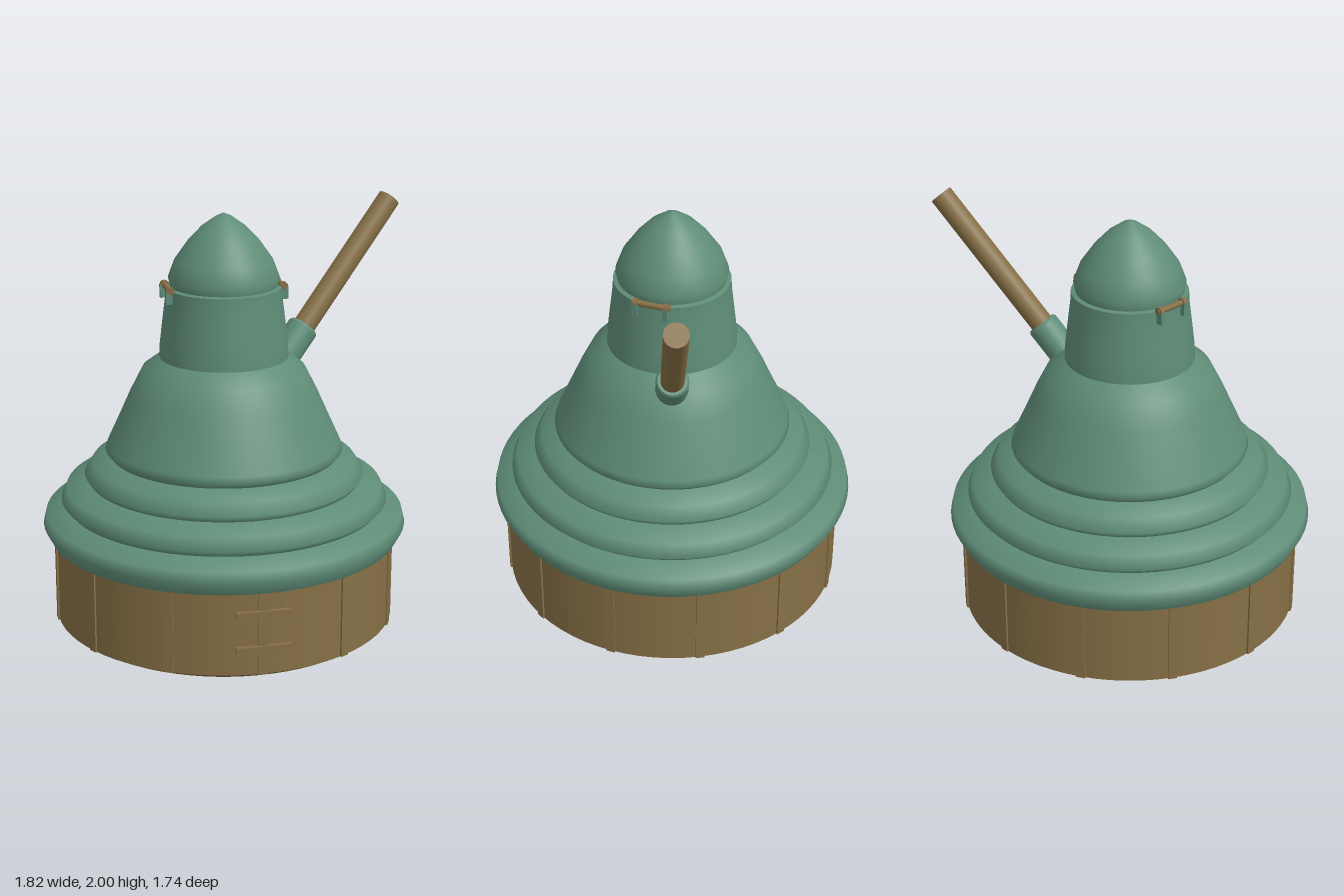
import * as THREE from 'three';

const mat = (name, color) => new THREE.MeshStandardMaterial({ name, color });

export function createModel() {
  const green = mat('weathered green', 0x5e8c77);
  const brown = mat('bronze brown', 0x866f45);
  const dark = mat('dark opening', 0x2a3438);

  const root = new THREE.Group();
  root.name = 'domedTurret';
  // The body axis sits slightly left of the middle because the barrel sticks out
  const body = new THREE.Group();
  body.name = 'body';
  body.position.x = -0.043;
  root.add(body);

  const add = (parent, name, geometry, material, x = 0, y = 0, z = 0) => {
    const m = new THREE.Mesh(geometry, material);
    m.name = name;
    m.position.set(x, y, z);
    parent.add(m);
    return m;
  };
  const lathe = (name, pts, material, start = 0, length = Math.PI * 2, segs = 72) =>
    add(body, name, new THREE.LatheGeometry(pts.map(p => new THREE.Vector2(...p)), segs, start, length), material);

  // Drum base, with its underside and central opening
  lathe('baseUnderside', [[0.2, 0], [0.725, 0]], brown);
  lathe('baseBevel', [[0.725, 0], [0.76, 0.017], [0.816, 0.05]], brown);
  lathe('baseDrum', [[0.816, 0.05], [0.816, 0.46]], brown);
  lathe('baseOpening', [[0, 0.003], [0.202, 0.003]], dark);

  // Twelve upright ribs around the drum
  for (let i = 0; i < 12; i++) {
    const a = i * Math.PI / 6;
    const rib = add(body, 'baseRib', new THREE.BoxGeometry(0.042, 0.4, 0.03), brown,
      Math.sin(a) * 0.809, 0.25, Math.cos(a) * 0.809);
    rib.rotation.y = a;
  }
  // Two cross bars on the front rib
  for (const y of [0.175, 0.345])
    add(body, 'frontCrossBar', new THREE.BoxGeometry(0.25, 0.032, 0.035), brown, 0, y, 0.815);

  // Stepped green skirt
  lathe('skirtUnderside', [[0.8, 0.45], [0.838, 0.45]], green);
  lathe('skirtRim', [[0.838, 0.45], [0.87, 0.51], [0.857, 0.565], [0.755, 0.6]], green);
  lathe('skirtMiddleTier', [[0.755, 0.6], [0.782, 0.63], [0.755, 0.69], [0.648, 0.722]], green);
  lathe('skirtUpperTier', [[0.648, 0.722], [0.668, 0.752], [0.63, 0.81], [0.545, 0.845]], green);

  // Bell shaped shell and neck
  lathe('shell', [[0.545, 0.845], [0.566, 0.87], [0.556, 0.9], [0.5, 1.022], [0.445, 1.145],
    [0.386, 1.26], [0.305, 1.32]], green);
  lathe('neck', [[0.305, 1.32], [0.302, 1.38], [0.289, 1.49], [0.275, 1.6], [0.272, 1.655]], green);
  lathe('neckLip', [[0.272, 1.655], [0.25, 1.66]], green);

  // Pointed cap in two halves
  const cap = [[0.25, 1.655], [0.26, 1.7], [0.23, 1.78], [0.168, 1.868], [0.103, 1.937], [0.035, 1.985], [0, 2]];
  lathe('capLeftHalf', cap, green, 0, Math.PI, 36);
  lathe('capRightHalf', cap, green, Math.PI, Math.PI, 36);

  // Hinge on each side of the cap
  for (const s of [-1, 1]) {
    const hinge = new THREE.Group();
    hinge.name = s > 0 ? 'leftHinge' : 'rightHinge';
    hinge.position.set(s * 0.268, 1.657, 0);
    body.add(hinge);
    add(hinge, 'hingePin', new THREE.CylinderGeometry(0.014, 0.014, 0.18, 12), brown).rotation.x = Math.PI / 2;
    for (const z of [-0.073, 0.073]) {
      add(hinge, 'hingeKnuckle', new THREE.CylinderGeometry(0.021, 0.021, 0.022, 12), brown, 0, 0, z)
        .rotation.x = Math.PI / 2;
      add(hinge, 'hingeBracket', new THREE.BoxGeometry(0.034, 0.06, 0.025), green, s * 0.005, -0.03, z);
    }
  }

  // Slanted barrel in its socket; the group's y axis runs along the barrel
  const mouth = new THREE.Vector3(0.39, 1.395, -0.165);
  const tip = new THREE.Vector3(0.865, 1.965, -0.36);
  const length = mouth.distanceTo(tip);
  const barrel = new THREE.Group();
  barrel.name = 'barrelAssembly';
  barrel.position.copy(mouth);
  barrel.quaternion.setFromUnitVectors(new THREE.Vector3(0, 1, 0), tip.clone().sub(mouth).normalize());
  root.add(barrel);
  add(barrel, 'barrel', new THREE.CylinderGeometry(0.055, 0.055, length + 0.1, 24), brown, 0, length / 2 - 0.05, 0);
  const socket = [[0, -0.18], [0.068, -0.18], [0.076, -0.172], [0.076, -0.012], [0.068, 0], [0.05, 0]];
  for (let i = 0; i < socket.length - 1; i++)
    add(barrel, 'barrelSocket', new THREE.LatheGeometry(
      [socket[i], socket[i + 1]].map(p => new THREE.Vector2(...p)), 28), green);

  return root;
}
